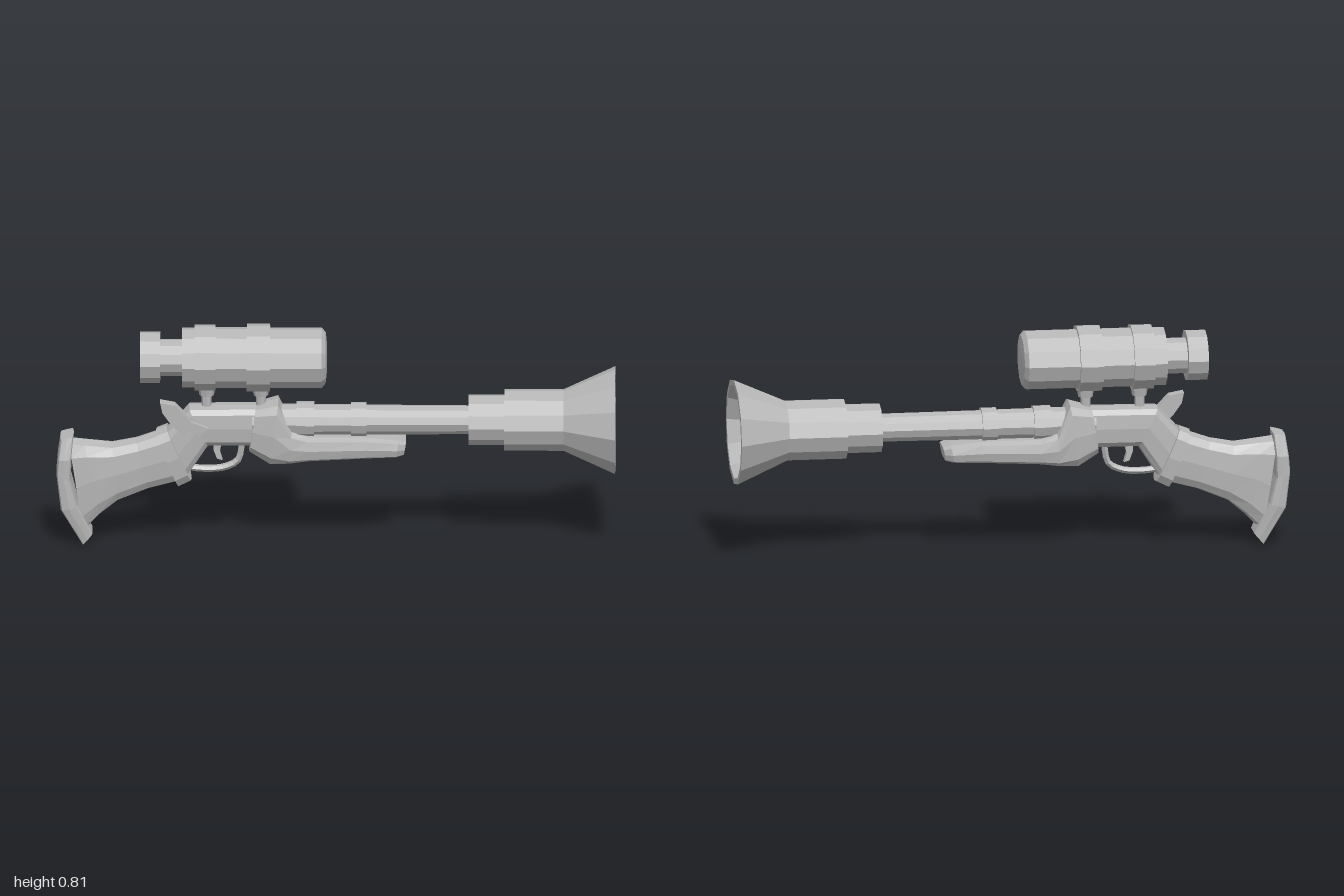
import * as THREE from 'three';

const gunGrey = new THREE.MeshStandardMaterial({ color: 0xb6b6b6, flatShading: true });
gunGrey.name = 'gunGrey';

function addMesh(group, name, geometry) {
  const flat = geometry.index ? geometry.toNonIndexed() : geometry;
  flat.computeVertexNormals();
  const mesh = new THREE.Mesh(flat, gunGrey);
  mesh.name = name;
  group.add(mesh);
  return mesh;
}

// Twelve-sided turned part along x, a little wider in z than in y; profile is [x, radius]
function turned(profile, y) {
  const g = new THREE.LatheGeometry(profile.map(([x, r]) => new THREE.Vector2(r, x)), 12);
  g.rotateZ(-Math.PI / 2);
  g.scale(1, 1, 1.2);
  g.translate(0, y, 0);
  return g;
}

// Loft through rounded-box sections [x1, y1, x2, y2, halfWidth]; smaller power = boxier
function loft(sections, power) {
  const N = 12, pos = [], idx = [];
  const soft = (v) => Math.sign(v) * Math.pow(Math.abs(v) < 1e-6 ? 0 : Math.abs(v), power);
  for (const [x1, y1, x2, y2, w] of sections) {
    for (let i = 0; i < N; i++) {
      const a = (i / N) * Math.PI * 2, c = soft(Math.cos(a)), s = soft(Math.sin(a));
      pos.push((x1 + x2) / 2 + (c * (x1 - x2)) / 2, (y1 + y2) / 2 + (c * (y1 - y2)) / 2, s * w);
    }
  }
  const last = sections.length - 1;
  for (let k = 0; k < last; k++) {
    for (let i = 0; i < N; i++) {
      const a = k * N + i, b = k * N + ((i + 1) % N);
      idx.push(a, b, a + N, b, b + N, a + N);
    }
  }
  // End caps
  for (let i = 1; i < N - 1; i++) {
    idx.push(0, i + 1, i);
    idx.push(last * N, last * N + i, last * N + i + 1);
  }
  // Turn the faces outward if the signed volume is negative
  const p = (i) => new THREE.Vector3(pos[i * 3], pos[i * 3 + 1], pos[i * 3 + 2]);
  let volume = 0;
  for (let t = 0; t < idx.length; t += 3) volume += p(idx[t]).dot(p(idx[t + 1]).cross(p(idx[t + 2])));
  if (volume < 0) idx.reverse();
  const g = new THREE.BufferGeometry();
  g.setAttribute('position', new THREE.Float32BufferAttribute(pos, 3));
  g.setIndex(idx);
  return g;
}

// Flat side-on plate between two z values
function plate(points, z0, z1) {
  const shape = new THREE.Shape(points.map(([x, y]) => new THREE.Vector2(x, y)));
  const g = new THREE.ExtrudeGeometry(shape, { depth: z1 - z0, bevelEnabled: false });
  g.translate(0, 0, z0);
  return g;
}

export function createModel() {
  const model = new THREE.Group();
  model.name = 'rifle';

  // Barrel with two bands, stepped muzzle and hollow bell
  addMesh(model, 'barrel', turned([
    [-0.3, 0], [-0.3, 0.056], [-0.14, 0.056], [-0.14, 0.064], [-0.077, 0.064], [-0.077, 0.055],
    [0.055, 0.054], [0.055, 0.062], [0.11, 0.062], [0.11, 0.053], [0.475, 0.051],
    [0.475, 0.089], [0.603, 0.089], [0.603, 0.109], [0.815, 0.109],
    [1, 0.191], [1, 0.17], [0.82, 0.1], [0.82, 0],
  ], 0.463));

  // Telescopic sight with recessed eyepiece and shallow front lens
  addMesh(model, 'scope', turned([
    [-0.672, 0], [-0.672, 0.074], [-0.7, 0.078], [-0.7, 0.091], [-0.628, 0.091], [-0.628, 0.065],
    [-0.55, 0.065], [-0.55, 0.106], [-0.505, 0.106], [-0.505, 0.117], [-0.43, 0.117],
    [-0.43, 0.107], [-0.318, 0.107], [-0.318, 0.12], [-0.235, 0.12], [-0.235, 0.107],
    [-0.05, 0.107], [-0.036, 0.09], [-0.031, 0.047], [-0.031, 0],
  ], 0.696));

  // Scope mounts
  for (const x of [-0.462, -0.268]) {
    const post = new THREE.CylinderGeometry(0.018, 0.018, 0.1, 8);
    post.translate(x, 0.54, 0);
    addMesh(model, 'scopePost', post);
    const clamp = new THREE.CylinderGeometry(0.032, 0.026, 0.035, 8);
    clamp.translate(x, 0.572, 0);
    addMesh(model, 'scopeClamp', clamp);
  }

  // Butt plate, grip and collar
  addMesh(model, 'buttPlate', loft([
    [-0.985, 0.4, -0.937, 0.412, 0.055], [-0.995, 0.33, -0.945, 0.33, 0.077],
    [-1, 0.27, -0.947, 0.25, 0.077], [-0.985, 0.14, -0.922, 0.155, 0.077],
    [-0.906, 0.003, -0.87, 0.045, 0.058],
  ], 0.35));
  addMesh(model, 'grip', loft([
    [-0.955, 0.395, -0.9, 0.045, 0.062], [-0.9, 0.388, -0.845, 0.105, 0.062],
    [-0.8, 0.376, -0.78, 0.16, 0.06], [-0.714, 0.392, -0.67, 0.206, 0.058],
    [-0.62, 0.425, -0.55, 0.238, 0.06],
  ], 0.65));
  addMesh(model, 'collar', loft([
    [-0.643, 0.425, -0.56, 0.217, 0.076], [-0.605, 0.44, -0.515, 0.24, 0.076],
  ], 0.6));

  // Receiver
  addMesh(model, 'receiver', loft([
    [-0.61, 0.425, -0.53, 0.255, 0.06], [-0.525, 0.517, -0.455, 0.372, 0.062],
    [-0.25, 0.52, -0.27, 0.372, 0.062],
  ], 0.55));

  // Fore-end rising into a block around the barrel
  addMesh(model, 'foreEnd', loft([
    [-0.285, 0.52, -0.31, 0.352, 0.072], [-0.205, 0.543, -0.235, 0.305, 0.09],
    [-0.158, 0.44, -0.165, 0.312, 0.092], [-0.1, 0.42, -0.1, 0.322, 0.092],
    [0.12, 0.418, 0.1, 0.333, 0.09], [0.225, 0.405, 0.215, 0.337, 0.083],
    [0.252, 0.396, 0.243, 0.343, 0.066],
  ], 0.55));

  // Hammer on the left flank
  addMesh(model, 'hammer', plate([
    [-0.628, 0.55], [-0.575, 0.54], [-0.515, 0.476], [-0.457, 0.454], [-0.488, 0.422],
    [-0.52, 0.448], [-0.543, 0.422], [-0.59, 0.47], [-0.62, 0.512],
  ], 0.035, 0.08));

  // Trigger and its guard
  addMesh(model, 'trigger', plate([
    [-0.44, 0.39], [-0.405, 0.39], [-0.415, 0.345], [-0.405, 0.312], [-0.425, 0.318], [-0.437, 0.35],
  ], -0.012, 0.012));
  const guardPath = new THREE.CatmullRomCurve3([
    [-0.535, 0.285], [-0.48, 0.278], [-0.4, 0.283], [-0.35, 0.31], [-0.335, 0.375],
  ].map(([x, y]) => new THREE.Vector3(x, y, 0)));
  const guard = new THREE.TubeGeometry(guardPath, 12, 0.012, 6);
  guard.scale(1, 1, 1.6);
  addMesh(model, 'triggerGuard', guard);

  return model;
}
